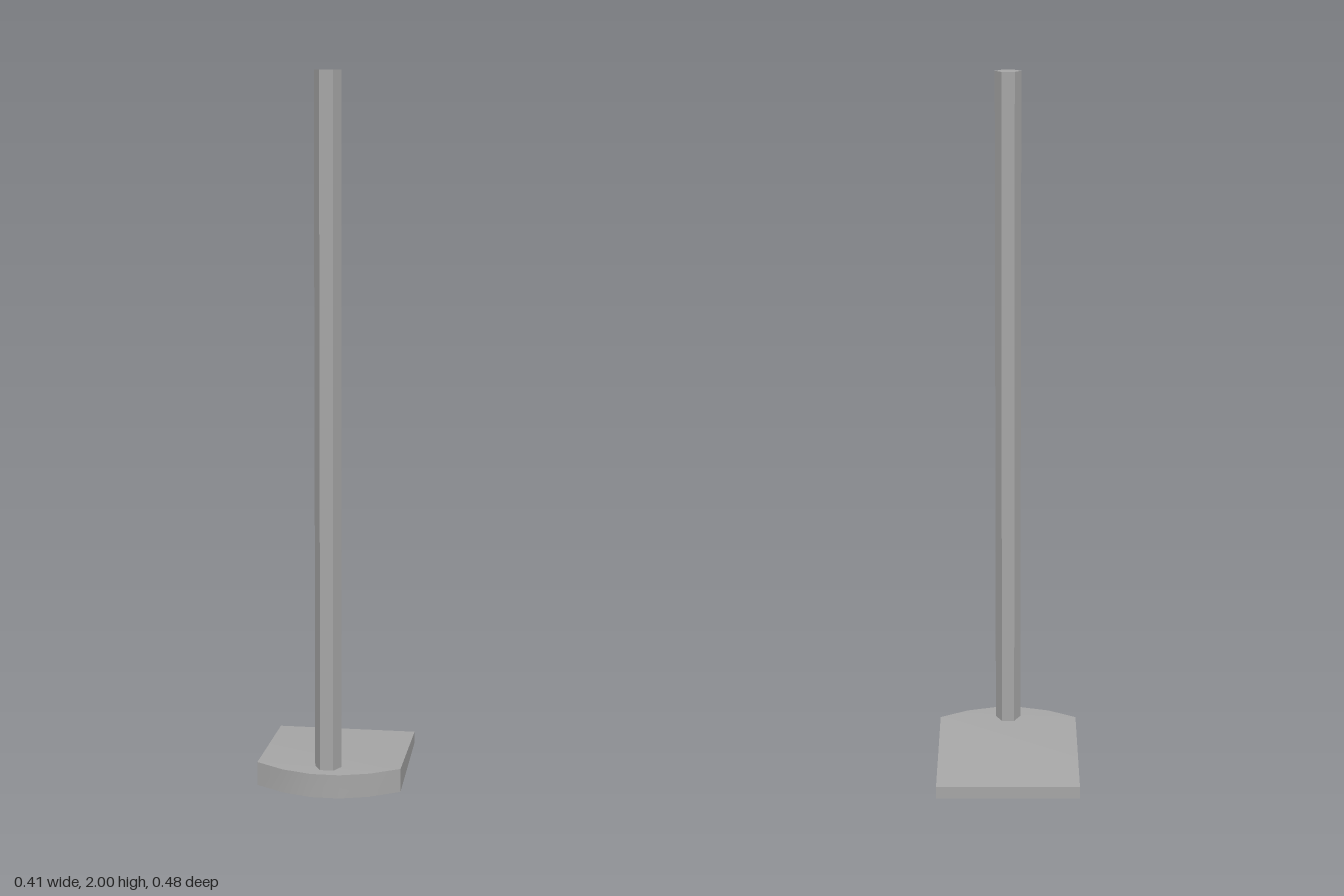
import * as THREE from 'three';
import { toCreasedNormals } from 'three/addons/utils/BufferGeometryUtils.js';

// Wedge-shaped foot: level rounded nose at the front, sloping down to the back
function baseGeometry() {
  const outline = [
    [-0.204, -0.243], [-0.204, 0.167], [-0.123, 0.216], [-0.04, 0.241],
    [0.04, 0.241], [0.123, 0.216], [0.204, 0.167], [0.204, -0.243],
  ];
  const n = outline.length;
  const positions = [];
  for (const [x, z] of outline) positions.push(x, 0, z);
  for (const [x, z] of outline) positions.push(x, z < 0 ? 0.035 : 0.068, z);

  const index = [];
  const cap = (a, b, c) => {
    index.push(n + a, n + b, n + c); // top
    index.push(c, b, a); // underside
  };
  // sloping rear panel, then the level nose
  cap(0, 1, 6);
  cap(0, 6, 7);
  for (let i = 2; i < 6; i++) cap(1, i, i + 1);
  // walls
  for (let i = 0; i < n; i++) {
    const j = (i + 1) % n;
    index.push(i, j, n + j, i, n + j, n + i);
  }

  const geometry = new THREE.BufferGeometry();
  geometry.setAttribute('position', new THREE.Float32BufferAttribute(positions, 3));
  geometry.setIndex(index);
  return toCreasedNormals(geometry, 0.6);
}

export function createModel() {
  const model = new THREE.Group();
  model.name = 'poleOnBase';

  const grey = new THREE.MeshStandardMaterial({ color: 0xa6a6a6 });
  grey.name = 'grey';

  const base = new THREE.Mesh(baseGeometry(), grey);
  base.name = 'base';
  model.add(base);

  // Hexagonal pole with corners pointing sideways
  const bottom = 0.06, top = 2;
  const poleShape = new THREE.CylinderGeometry(0.037, 0.037, top - bottom, 6, 1, false, Math.PI / 6);
  const pole = new THREE.Mesh(toCreasedNormals(poleShape, 0.6), grey);
  pole.name = 'pole';
  pole.position.set(0, (top + bottom) / 2, 0.175);
  model.add(pole);

  return model;
}
